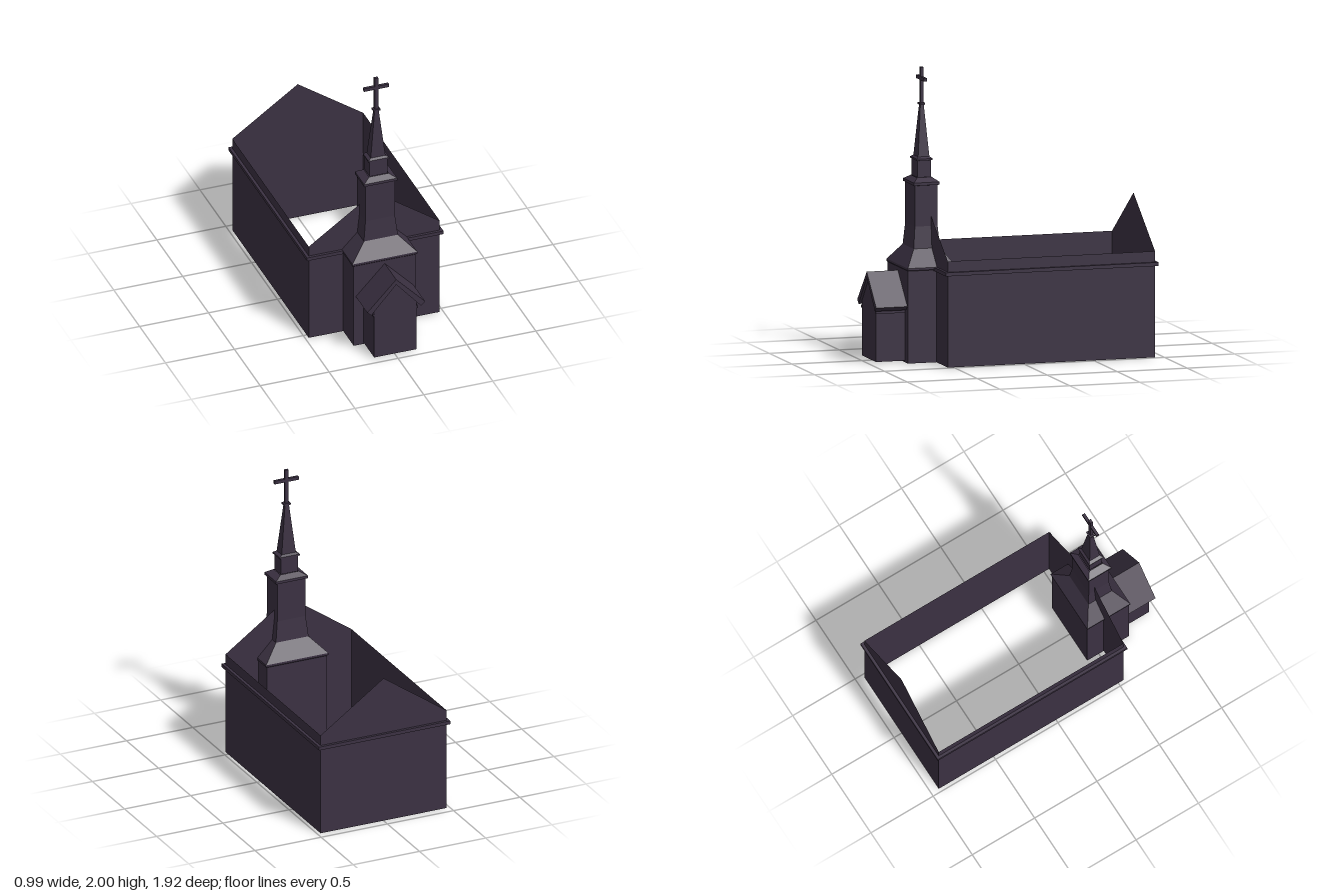
import * as THREE from 'three';

const stone = new THREE.MeshStandardMaterial({ color: 0x3b3142, flatShading: true, side: THREE.DoubleSide });
stone.name = 'dark plum';

const TOWER_Z = 0.575;

function add(group, name, geometry, x = 0, y = 0, z = 0) {
  const mesh = new THREE.Mesh(geometry, stone);
  mesh.name = name;
  mesh.position.set(x, y, z);
  group.add(mesh);
  return mesh;
}

// Open rectangular shell through sections [y, half width, half depth]
function loft(sections, capped = false) {
  const pos = [];
  const ring = ([y, w, d]) => [[-w, y, d], [w, y, d], [w, y, -d], [-w, y, -d]];
  const quad = (a, b, c, d) => pos.push(...a, ...b, ...c, ...a, ...c, ...d);
  for (let i = 0; i < sections.length - 1; i++) {
    const lo = ring(sections[i]), hi = ring(sections[i + 1]);
    for (let k = 0; k < 4; k++) {
      const n = (k + 1) % 4;
      quad(lo[k], lo[n], hi[n], hi[k]);
    }
  }
  if (capped) quad(...ring(sections[sections.length - 1]));
  const g = new THREE.BufferGeometry();
  g.setAttribute('position', new THREE.Float32BufferAttribute(pos, 3));
  g.computeVertexNormals();
  return g;
}

// Flat upright wall with a gable
function gable(w, base, eave, peak) {
  return new THREE.ShapeGeometry(new THREE.Shape([
    new THREE.Vector2(-w, base), new THREE.Vector2(w, base), new THREE.Vector2(w, eave),
    new THREE.Vector2(0, peak), new THREE.Vector2(-w, eave)]));
}

function rectPoints(w, d) {
  return [[-w, -d], [w, -d], [w, d], [-w, d]].map(([x, y]) => new THREE.Vector2(x, y));
}

export function createModel() {
  const model = new THREE.Group();
  model.name = 'church';

  // Roofless nave: thin walls, open above and below
  const nave = new THREE.Group();
  nave.name = 'nave';
  model.add(nave);
  const W = 0.475, front = 0.54, back = -0.94, mid = (front + back) / 2, half = (front - back) / 2;
  add(nave, 'frontGableWall', gable(W, 0, 0.73, 1.063), 0, 0, front);
  add(nave, 'backGableWall', gable(W, 0, 0.73, 1.063).rotateY(Math.PI), 0, 0, back);
  for (const s of [1, -1]) {
    add(nave, s > 0 ? 'leftWall' : 'rightWall',
      new THREE.PlaneGeometry(half * 2, 0.73).rotateY(s * Math.PI / 2), s * W, 0.365, mid);
  }

  // Moulding around the nave
  const ring = new THREE.Shape(rectPoints(W + 0.02, half + 0.02));
  ring.holes.push(new THREE.Path(rectPoints(W, half)));
  add(nave, 'cornice', new THREE.ExtrudeGeometry(ring, { depth: 0.025, bevelEnabled: false })
    .rotateX(-Math.PI / 2), 0, 0.63, mid);

  // Tower, stage by stage
  const tower = new THREE.Group();
  tower.name = 'tower';
  tower.position.z = TOWER_Z;
  model.add(tower);
  add(tower, 'towerBase', loft([[0, 0.225, 0.168], [0.635, 0.225, 0.168], [0.64, 0.235, 0.172], [0.655, 0.235, 0.172]]));
  add(tower, 'flaredRoof', loft([[0.655, 0.235, 0.172], [0.77, 0.123, 0.094], [0.92, 0.107, 0.081]]));
  add(tower, 'belfry', loft([[0.92, 0.107, 0.081], [1.2, 0.107, 0.081]]));
  add(tower, 'belfryCornice', loft([[1.2, 0.107, 0.081], [1.203, 0.12, 0.091], [1.222, 0.12, 0.091], [1.25, 0.07, 0.053]]));
  add(tower, 'lantern', loft([[1.25, 0.065, 0.049], [1.365, 0.065, 0.049]]));
  add(tower, 'lanternCornice', loft([[1.365, 0.065, 0.049], [1.367, 0.075, 0.056], [1.378, 0.075, 0.056], [1.39, 0.053, 0.04]]));
  add(tower, 'spire', loft([[1.39, 0.053, 0.04], [1.74, 0.015, 0.012]]));
  add(tower, 'spireCap', loft([[1.74, 0.015, 0.012], [1.742, 0.025, 0.019], [1.755, 0.025, 0.019]], true));

  // Cross
  add(tower, 'crossPost', new THREE.BoxGeometry(0.026, 0.25, 0.02), 0, 1.875, 0);
  add(tower, 'crossArm', new THREE.BoxGeometry(0.18, 0.024, 0.02), 0, 1.923, 0);

  // Porch
  const porch = new THREE.Group();
  porch.name = 'porch';
  model.add(porch);
  add(porch, 'porchFront', gable(0.153, 0.01, 0.41, 0.57), 0, 0, 0.948);
  for (const s of [1, -1]) {
    const side = s > 0 ? 'Left' : 'Right';
    add(porch, 'porchWall' + side, new THREE.PlaneGeometry(0.205, 0.4).rotateY(s * Math.PI / 2),
      s * 0.153, 0.21, 0.8455);
    add(porch, 'porchTrim' + side, new THREE.BoxGeometry(0.012, 0.018, 0.208), s * 0.158, 0.35, 0.849);
  }

  // Folded porch roof
  const roof = new THREE.Shape([[-0.21, 0.39], [-0.18, 0.362], [0, 0.57], [0.18, 0.362], [0.21, 0.39], [0, 0.61]]
    .map(([x, y]) => new THREE.Vector2(x, y)));
  add(porch, 'porchRoof', new THREE.ExtrudeGeometry(roof, { depth: 0.222, bevelEnabled: false }), 0, 0, 0.743);

  return model;
}
